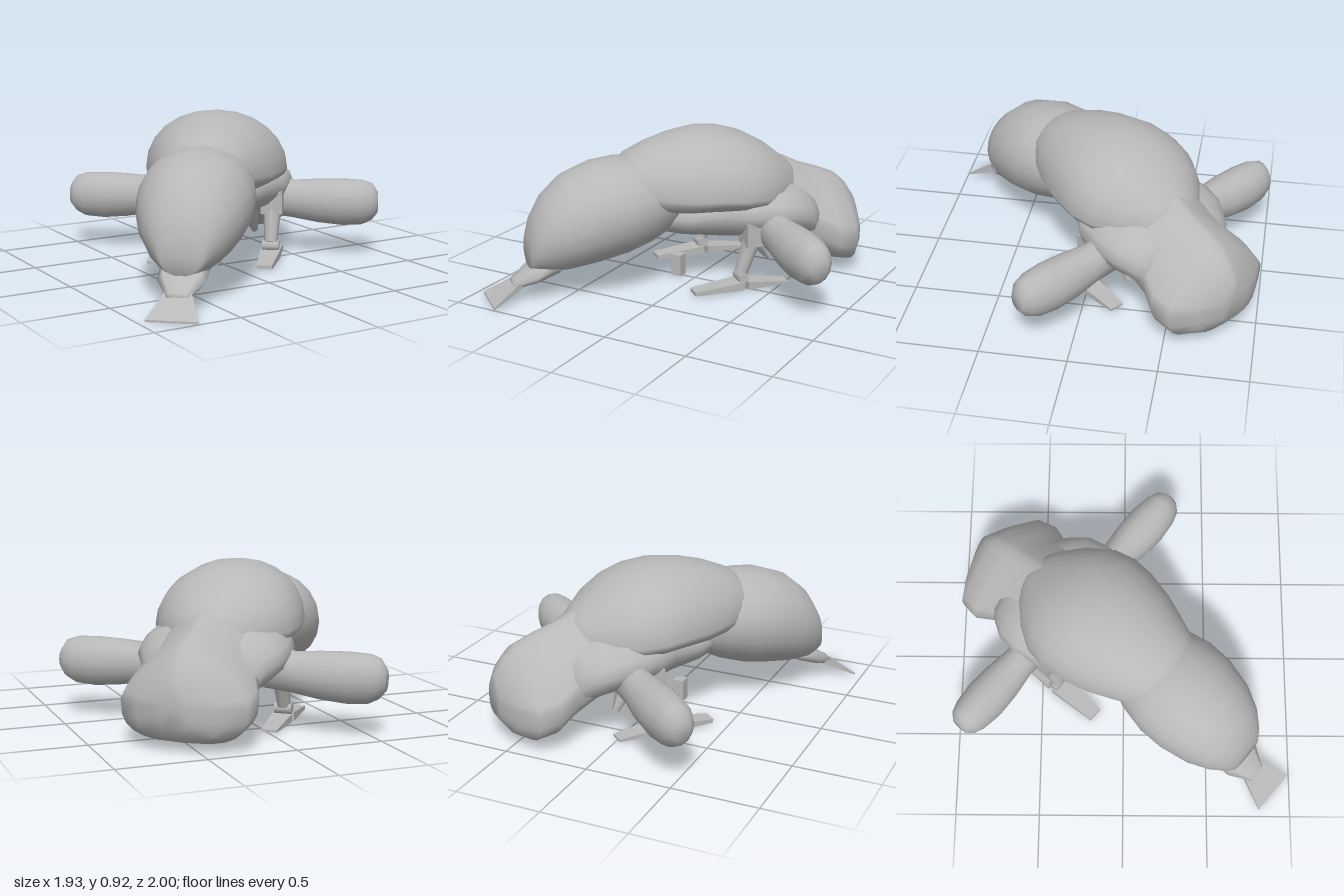
import * as THREE from 'three';

// Loft along z. Each section: [z, halfWidth, top, bottom, heightOfWidest]
function loft(sections, sides = 20, upper = 2, lower = 2) {
  const pos = [], idx = [];
  const pw = (v, n) => Math.sign(v) * Math.pow(Math.abs(v), 2 / n);
  for (const [z, w, top, bot, mid = (top + bot) / 2] of sections) {
    for (let j = 0; j < sides; j++) {
      const a = (j / sides) * Math.PI * 2, c = Math.cos(a), s = Math.sin(a);
      const n = s >= 0 ? upper : lower;
      const h = s >= 0 ? top - mid : mid - bot;
      pos.push(w * pw(Math.abs(c) < 1e-9 ? 0 : c, n), mid + h * pw(Math.abs(s) < 1e-9 ? 0 : s, n), z);
    }
  }
  const rings = sections.length;
  for (let i = 0; i < rings - 1; i++) {
    for (let j = 0; j < sides; j++) {
      const k = (j + 1) % sides, a = i * sides, b = a + sides;
      idx.push(a + j, a + k, b + j, a + k, b + k, b + j);
    }
  }
  // end caps
  for (const i of [0, rings - 1]) {
    const [z, , top, bot, mid = (top + bot) / 2] = sections[i];
    const centre = pos.length / 3;
    pos.push(0, mid, z);
    for (let j = 0; j < sides; j++) {
      const a = i * sides + j, b = i * sides + (j + 1) % sides;
      if (i === 0) idx.push(centre, b, a); else idx.push(centre, a, b);
    }
  }
  const g = new THREE.BufferGeometry();
  g.setAttribute('position', new THREE.Float32BufferAttribute(pos, 3));
  g.setIndex(idx);
  g.computeVertexNormals();
  return g;
}

// Tapered limb between two points
function limb(a, b, ra, rb, sides = 8) {
  const p = new THREE.Vector3(...a), q = new THREE.Vector3(...b), d = q.clone().sub(p);
  const g = new THREE.CylinderGeometry(rb, ra, d.length(), sides);
  g.applyQuaternion(new THREE.Quaternion().setFromUnitVectors(new THREE.Vector3(0, 1, 0), d.normalize()));
  const m = p.add(q).multiplyScalar(0.5);
  return g.translate(m.x, m.y, m.z);
}

// Four-sided tapered block along z. Each end: [z, halfWidth, top, bottom]
function wedge(ends) {
  const box = new THREE.BoxGeometry(1, 1, 1), p = box.attributes.position;
  for (let i = 0; i < p.count; i++) {
    const [z, w, top, bot] = ends[p.getZ(i) < 0 ? 0 : 1];
    p.setXYZ(i, Math.sign(p.getX(i)) * w, p.getY(i) > 0 ? top : bot, z);
  }
  box.computeVertexNormals();
  return box;
}

export function createModel() {
  const grey = new THREE.MeshStandardMaterial({ color: 0xb8b8b8 });
  grey.name = 'plainGrey';
  const heading = THREE.MathUtils.degToRad(140);
  const model = new THREE.Group();
  model.name = 'creature';
  const add = (name, geo) => {
    const m = new THREE.Mesh(geo, grey);
    m.name = name;
    model.add(m);
    return m;
  };

  // Rear abdomen
  add('abdomen', loft([
    [-1.0, 0.11, 0.38, 0.18], [-0.965, 0.16, 0.49, 0.165, 0.34], [-0.89, 0.225, 0.61, 0.15, 0.39],
    [-0.77, 0.285, 0.71, 0.155, 0.43], [-0.6, 0.325, 0.77, 0.18, 0.48], [-0.45, 0.328, 0.785, 0.21, 0.5],
    [-0.3, 0.295, 0.77, 0.26, 0.52], [-0.1, 0.2, 0.68, 0.36, 0.52],
  ]));

  // Humped back, narrowing towards the neck
  add('back', loft([
    [-0.47, 0.14, 0.74, 0.54, 0.62], [-0.38, 0.25, 0.805, 0.48, 0.6], [-0.25, 0.31, 0.86, 0.45, 0.58],
    [-0.1, 0.37, 0.90, 0.44, 0.57], [0.06, 0.41, 0.92, 0.44, 0.57], [0.2, 0.425, 0.905, 0.43, 0.56],
    [0.33, 0.4, 0.865, 0.42, 0.55], [0.46, 0.325, 0.79, 0.42, 0.54], [0.58, 0.21, 0.695, 0.42, 0.52],
    [0.66, 0.1, 0.63, 0.45, 0.52],
  ], 24, 2.05, 2));

  // Belly widening into the shoulders
  add('bellyAndShoulders', loft([
    [-0.3, 0.16, 0.55, 0.34], [-0.1, 0.25, 0.56, 0.29], [0.1, 0.31, 0.58, 0.26, 0.44],
    [0.24, 0.41, 0.62, 0.255, 0.45], [0.42, 0.44, 0.64, 0.25, 0.44], [0.55, 0.42, 0.61, 0.22, 0.42],
    [0.65, 0.36, 0.56, 0.18, 0.38], [0.75, 0.28, 0.5, 0.14, 0.32],
  ], 20));

  // Head: wedge with a central ridge, straight slopes and a wide flat jaw
  add('head', loft([
    [0.42, 0.3, 0.76, 0.27, 0.45], [0.6, 0.34, 0.69, 0.2, 0.4], [0.7, 0.33, 0.64, 0.135, 0.34],
    [0.82, 0.38, 0.6, 0.065, 0.28], [0.94, 0.36, 0.55, 0.035, 0.25], [1.02, 0.24, 0.48, 0.06, 0.25],
    [1.08, 0.1, 0.39, 0.14, 0.26],
  ], 24, 1.3, 3));

  // Tail stalk and fan
  add('tailStalk', loft([
    [-1.1, 0.06, 0.12, 0.07], [-1.05, 0.085, 0.15, 0.08], [-0.98, 0.13, 0.2, 0.1], [-0.84, 0.14, 0.26, 0.15],
  ], 8, 2.6, 2.6));
  add('tailFan', wedge([[-1.24, 0.14, 0.012, 0], [-1.04, 0.06, 0.13, 0.085]]));

  // Small block under the body, turned against the heading
  const block = add('block', new THREE.BoxGeometry(0.065, 0.13, 0.065));
  block.position.set(0, 0.075, -0.08);
  block.rotation.y = -heading;

  for (const side of [-1, 1]) {
    const name = side > 0 ? 'right' : 'left';
    const x = side * 0.33;

    // Side lobe, fullest towards the blunt outer end
    const lobe = add(name + 'Lobe', loft([
      [0.28, 0.11, 0.17, -0.09], [0.45, 0.1, 0.125, -0.11], [0.6, 0.122, 0.135, -0.135],
      [0.75, 0.128, 0.14, -0.148], [0.87, 0.112, 0.135, -0.14], [0.93, 0.09, 0.115, -0.11],
      [0.965, 0.055, 0.06, -0.065],
    ], 14));
    lobe.rotation.y = side * Math.PI / 2;
    lobe.position.set(0, 0.33, 0.385);

    // Leg
    add(name + 'Hip', new THREE.BoxGeometry(0.13, 0.14, 0.13).translate(x, 0.34, 0.27));
    add(name + 'Leg', limb([x, 0.1, 0.19], [x, 0.33, 0.27], 0.04, 0.058));
    add(name + 'Ankle', limb([x - 0.05, 0.08, 0.19], [x + 0.05, 0.08, 0.19], 0.033, 0.033));

    // Foot with a rear and a front plate
    add(name + 'RearToe', wedge([[-0.11, 0.045, 0.03, 0.008], [0.19, 0.062, 0.06, 0.008]])).position.x = x;
    add(name + 'FrontToe', wedge([[0.22, 0.058, 0.055, 0.008], [0.48, 0.045, 0.022, 0.008]])).position.x = x;

    // Claw under the chest
    add(name + 'Claw', limb([side * 0.17, 0.29, 0.33], [side * 0.2, 0.12, 0.43], 0.07, 0.02, 6));
  }

  // Turn the body onto its diagonal heading
  model.rotation.y = heading;
  model.position.set(-0.054, 0, -0.045);
  const root = new THREE.Group();
  root.name = 'model';
  root.add(model);
  return root;
}
